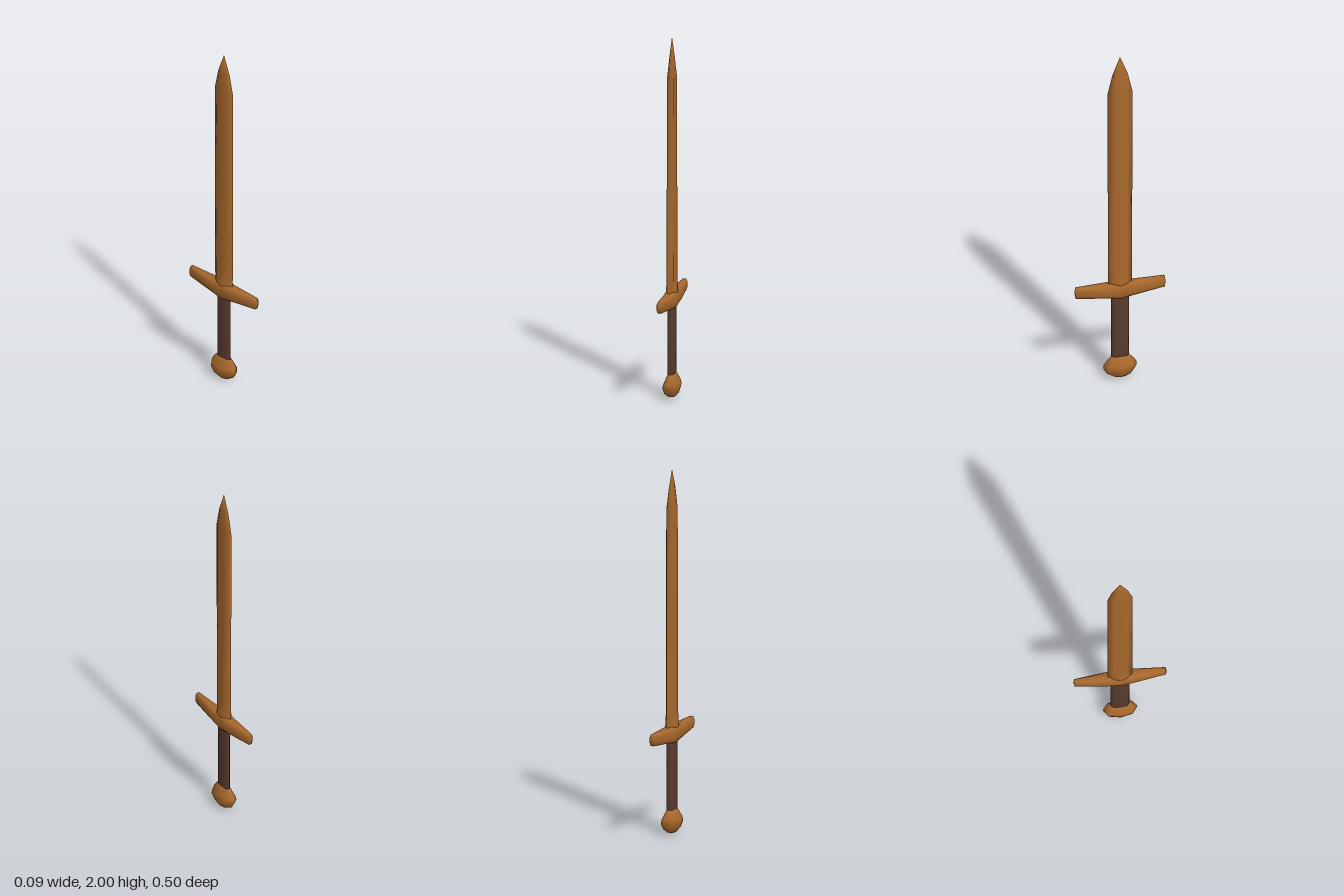
import * as THREE from 'three';

const bronze = new THREE.MeshStandardMaterial({ color: 0xa8682c });
const leather = new THREE.MeshStandardMaterial({ color: 0x593a2e });

// Smooth skin through rings of points, closed by a centre point at each end.
function loft(name, material, rings, startPoint, endPoint) {
  const n = rings[0].length;
  const points = [...rings.flat(), startPoint, endPoint];
  const start = points.length - 2, end = points.length - 1;
  const last = (rings.length - 1) * n;
  const index = [];
  for (let j = 0; j < n; j++) {
    const k = (j + 1) % n;
    for (let i = 0; i < rings.length - 1; i++) {
      const a = i * n + j, b = i * n + k;
      index.push(a, b, b + n, a, b + n, a + n);
    }
    index.push(start, k, j, end, last + j, last + k);
  }
  const geometry = new THREE.BufferGeometry();
  geometry.setAttribute('position', new THREE.Float32BufferAttribute(points.flat(), 3));
  geometry.setIndex(index);
  geometry.computeVertexNormals();
  const mesh = new THREE.Mesh(geometry, material);
  mesh.name = name;
  return mesh;
}

// Horizontal eight-sided ring: centre thickness, shoulder thickness, shoulder and edge reach.
function ring(y, cx, sx, sz, hz) {
  return [
    [0, y, hz], [sx, y, sz], [cx, y, 0], [sx, y, -sz],
    [0, y, -hz], [-sx, y, -sz], [-cx, y, 0], [-sx, y, sz],
  ];
}

export function createModel() {
  const sword = new THREE.Group();
  sword.name = 'sword';

  // Blade: thin edges, shallow central groove, flared root
  const bladeRings = [
    [0.56, 0.035, 0.026, 0.035, 0.066],
    [0.60, 0.030, 0.023, 0.035, 0.066],
    [0.66, 0.017, 0.020, 0.035, 0.067],
    [1.25, 0.015, 0.019, 0.035, 0.068],
    [1.78, 0.014, 0.017, 0.035, 0.068],
    [1.89, 0.010, 0.009, 0.020, 0.043],
  ].map((r) => ring(...r));
  sword.add(loft('blade', bronze, bladeRings, [0, 0.56, 0], [0, 2, 0]));

  // Crossguard: chamfered bar tapering towards both ends
  const guardRings = [
    [-0.246, 0.015, 0.530, 0.592],
    [-0.065, 0.034, 0.510, 0.590],
    [0, 0.037, 0.500, 0.600],
    [0.065, 0.034, 0.510, 0.590],
    [0.246, 0.015, 0.530, 0.592],
  ].map(([z, hx, low, high]) => {
    const c = (high - low) * 0.25, t = hx * 0.6;
    return [
      [hx, low + c, z], [hx, high - c, z], [t, high, z], [-t, high, z],
      [-hx, high - c, z], [-hx, low + c, z], [-t, low, z], [t, low, z],
    ];
  });
  sword.add(loft('crossguard', bronze, guardRings, [0, 0.56, -0.252], [0, 0.56, 0.252]));

  // Grip: flattened leather handle
  const gripRings = [
    [0.10, 0.018, 0.015, 0.036, 0.051],
    [0.30, 0.018, 0.015, 0.036, 0.051],
    [0.52, 0.018, 0.015, 0.036, 0.051],
  ].map((r) => ring(...r));
  sword.add(loft('grip', leather, gripRings, [0, 0.10, 0], [0, 0.52, 0]));

  // Pommel: flattened faceted knob
  const pommelRings = [
    [0.010, 0.022, 0.42],
    [0.030, 0.038, 0.78],
    [0.062, 0.047, 1],
    [0.085, 0.041, 0.99],
    [0.110, 0.029, 0.80],
    [0.135, 0.019, 0.56],
  ].map(([y, hx, s]) => ring(y, hx, hx * 0.75, 0.065 * s, 0.092 * s));
  sword.add(loft('pommel', bronze, pommelRings, [0, 0, 0], [0, 0.135, 0]));

  return sword;
}
